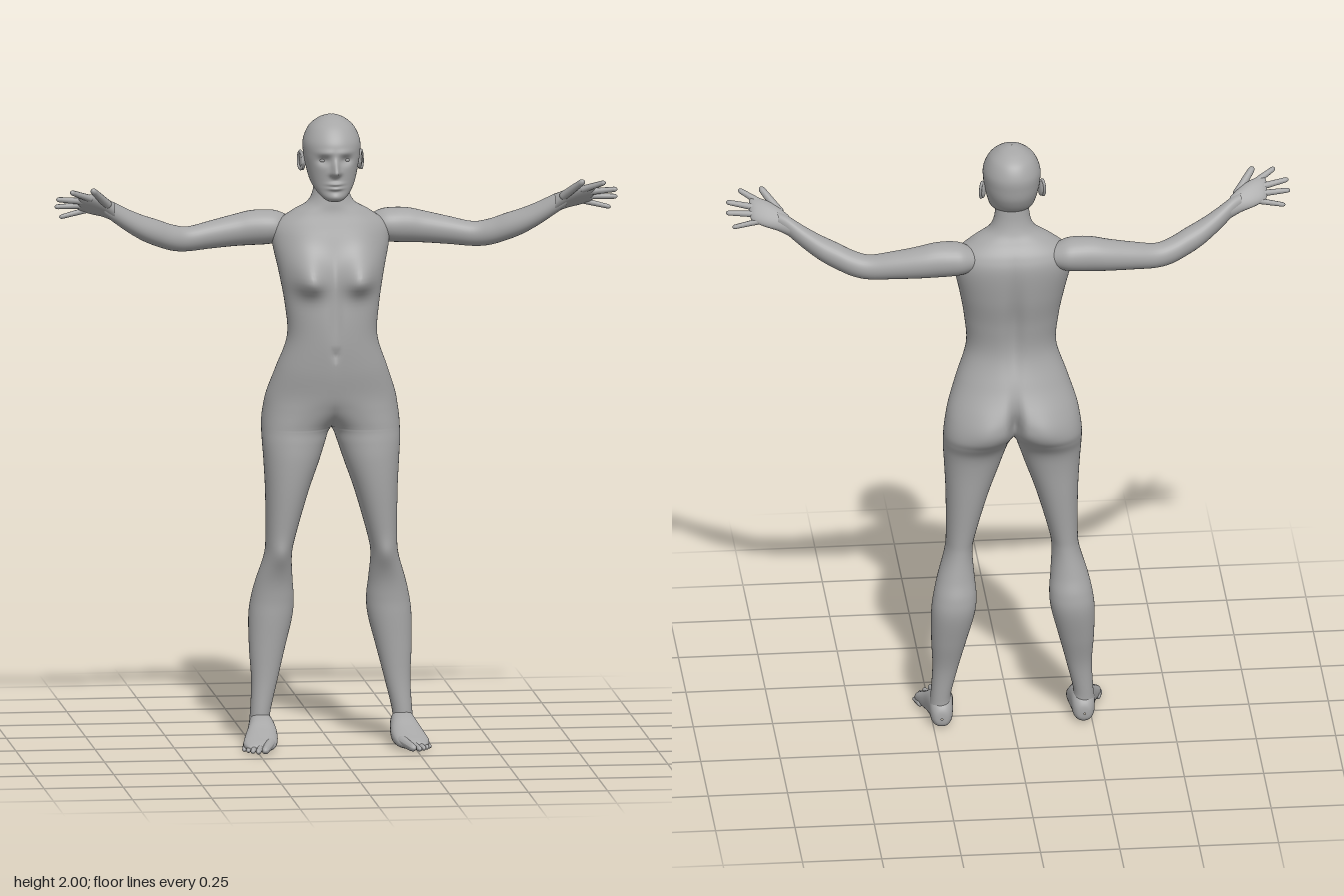
import * as THREE from 'three';

const skin = new THREE.MeshStandardMaterial({ color: 0xa6a6a6 });
skin.name = 'plain grey';

const bell = (v, centre, width) => Math.exp(-(((v - centre) / width) ** 2));
const sup = (v, e) => Math.sign(v) * Math.abs(v) ** (2 / e);

// Smoothly subdivide a list of cross-section rows (Catmull-Rom on each number)
function smooth(rows, k) {
  const out = [], last = rows.length - 1;
  for (let i = 0; i < last; i++) {
    const [a, b, c, d] = [rows[Math.max(i - 1, 0)], rows[i], rows[i + 1], rows[Math.min(i + 2, last)]];
    for (let j = 0; j < k; j++) {
      const t = j / k;
      out.push(b.map((_, m) => b[m] + 0.5 * t * (c[m] - a[m]
        + t * (2 * a[m] - 5 * b[m] + 4 * c[m] - d[m] + t * (3 * (b[m] - c[m]) + d[m] - a[m])))));
    }
  }
  out.push(rows[last]);
  return out;
}

// A ring of n points; fn receives the two rounded-oval coordinates
function oval(n, e, fn) {
  return Array.from({ length: n }, (_, i) => {
    const t = (i / n) * Math.PI * 2;
    return fn(sup(Math.cos(t), e), sup(Math.sin(t), e));
  });
}

// Skin a stack of rings, with faces turned outward
function loft(rings, closed = true) {
  const n = rings[0].length, pts = rings.flat(), index = [];
  for (let r = 0; r < rings.length - 1; r++) {
    for (let i = 0; i < (closed ? n : n - 1); i++) {
      const a = r * n + i, b = r * n + (i + 1) % n;
      index.push(a, b, a + n, b, b + n, a + n);
    }
  }
  let volume = 0;
  const v = [0, 1, 2].map(() => new THREE.Vector3());
  for (let i = 0; i < index.length; i += 3) {
    v.forEach((p, m) => p.fromArray(pts[index[i + m]]));
    volume += v[0].dot(v[1].cross(v[2]));
  }
  if (volume < 0) index.reverse();
  const g = new THREE.BufferGeometry();
  g.setAttribute('position', new THREE.Float32BufferAttribute(pts.flat(), 3));
  g.setIndex(index);
  g.computeVertexNormals();
  return g;
}

// One half of the body, from ankle to neck: [y, inner x, outer x, front z, back z]
function halfBody() {
  const n = 64, e = 2.15;
  const rows = smooth([
    [0.06, 0.19, 0.26, 0, -0.075], [0.1, 0.193, 0.256, 0, -0.076], [0.2, 0.17, 0.251, -0.005, -0.087],
    [0.3, 0.145, 0.256, -0.005, -0.115], [0.4, 0.12, 0.257, -0.003, -0.139], [0.46, 0.115, 0.25, -0.002, -0.137],
    [0.52, 0.12, 0.236, 0.006, -0.121], [0.6, 0.125, 0.212, 0.03, -0.106], [0.66, 0.115, 0.207, 0.04, -0.106],
    [0.8, 0.075, 0.208, 0.055, -0.12], [0.9, 0.04, 0.213, 0.06, -0.13], [0.96, 0.02, 0.217, 0.058, -0.142],
    [1.0, 0.004, 0.218, 0.055, -0.165], [1.03, -0.03, 0.217, 0.058, -0.182], [1.07, -0.1, 0.212, 0.065, -0.188],
    [1.12, -0.195, 0.202, 0.077, -0.182], [1.2, -0.175, 0.175, 0.09, -0.148], [1.3, -0.142, 0.142, 0.097, -0.117],
    [1.4, -0.148, 0.148, 0.093, -0.125], [1.5, -0.165, 0.165, 0.075, -0.146], [1.6, -0.185, 0.185, 0.045, -0.157],
    [1.65, -0.175, 0.175, 0.028, -0.146], [1.69, -0.125, 0.125, 0.015, -0.122], [1.72, -0.075, 0.075, 0.01, -0.106],
    [1.76, -0.056, 0.056, 0.004, -0.095], [1.82, -0.052, 0.052, 0, -0.09],
  ], 7);
  const rings = rows.map(([y, xi, xo, zf, zb]) => {
    const cx = (xi + xo) / 2, hw = (xo - xi) / 2, cz = (zf + zb) / 2, d = (zf - zb) / 2;
    // the arc stops at the middle plane where both halves meet
    const reach = cx >= hw ? Math.PI : Math.acos(-((Math.max(cx, 0) / hw) ** (e / 2)));
    return Array.from({ length: n }, (_, i) => {
      const t = reach * (2 * i / (n - 1) - 1), s = Math.sin(t);
      const x = Math.max(0, cx + hw * sup(Math.cos(t), e));
      let z = cz + d * sup(s, e);
      const front = Math.max(0, s), back = Math.max(0, -s);
      z += front * 0.066 * bell(x, 0.085, 0.052) * bell(y, 1.485, y > 1.485 ? 0.07 : 0.042); // chest
      z -= front * 0.014 * bell(x, 0, 0.009) * bell(y, 1.25, 0.011); // navel
      z -= front * 0.008 * bell(x, 0, 0.02) * bell(y, 1.37, 0.1); // midline
      z += back * 0.016 * bell(x, 0, 0.028) * bell(y, 1.4, 0.16); // spine
      z -= back * 0.012 * bell(x, 0.09, 0.06) * bell(y, 1.06, 0.06); // seat
      z += back * 0.05 * bell(x, 0, 0.018) * bell(y, 1.07, 0.07);
      z += front * 0.008 * bell(x, 0.165, 0.03) * bell(y, 0.61, 0.04); // knee
      return [x, y, z];
    });
  });
  const g = loft(rings, false), N = g.attributes.normal, P = g.attributes.position;
  // keep shading continuous along the middle plane and the inner leg
  for (let a = 0; a < P.count; a += n) {
    const b = a + n - 1, na = new THREE.Vector3().fromBufferAttribute(N, a), nb = new THREE.Vector3().fromBufferAttribute(N, b);
    if (P.getX(a) < 0.0015) { na.x = 0; nb.x = 0; } else { na.add(nb); nb.copy(na); }
    na.normalize(); nb.normalize();
    N.setXYZ(a, na.x, na.y, na.z);
    N.setXYZ(b, nb.x, nb.y, nb.z);
  }
  return g;
}

// Head rows: [y, half width, front z, back z]; the face is pushed in and out of the oval
function head() {
  const rows = smooth([
    [1.735, 0.001, 0.056, 0.054], [1.738, 0.022, 0.077, 0.03], [1.752, 0.042, 0.085, -0.005], [1.775, 0.06, 0.084, -0.055],
    [1.8, 0.072, 0.084, -0.1], [1.84, 0.082, 0.085, -0.128], [1.88, 0.089, 0.084, -0.138], [1.92, 0.089, 0.079, -0.14],
    [1.96, 0.072, 0.052, -0.122], [1.985, 0.045, 0.018, -0.088], [1.997, 0.019, -0.014, -0.052], [2, 0.001, -0.032, -0.034],
  ], 10);
  return loft(rows.map(([y, hw, zf, zb]) => oval(96, 2.1, (c, s) => {
    const x = hw * c, ax = Math.abs(x), f = Math.max(0, s);
    let z = (zf + zb) / 2 + s * (zf - zb) / 2;
    z += f * 0.04 * bell(x, 0, 0.009 + 0.005 * bell(y, 1.825, 0.015)) * bell(y, 1.832, y > 1.832 ? 0.03 : 0.013); // nose
    z -= f * 0.015 * bell(ax, 0.036, 0.02) * bell(y, 1.867, 0.014); // eye sockets
    z += f * 0.005 * bell(ax, 0.03, 0.03) * bell(y, 1.892, 0.01); // brow
    z += f * 0.011 * bell(x, 0, 0.022) * (bell(y, 1.794, 0.006) + bell(y, 1.78, 0.006)); // lips
    z += f * 0.006 * bell(x, 0, 0.022) * bell(y, 1.752, 0.012); // chin
    return [x, y, z];
  })));
}

// Arm rows: [x, bottom y, top y, back z, front z]
function arm() {
  const rows = smooth([
    [0.11, 1.605, 1.66, -0.12, -0.06], [0.16, 1.588, 1.685, -0.143, -0.032], [0.2, 1.582, 1.691, -0.145, -0.026],
    [0.25, 1.58, 1.689, -0.142, -0.03], [0.3, 1.578, 1.678, -0.136, -0.034], [0.38, 1.573, 1.66, -0.118, -0.03],
    [0.45, 1.568, 1.646, -0.1, -0.02], [0.5, 1.573, 1.655, -0.088, 0], [0.55, 1.59, 1.675, -0.07, 0.022],
    [0.6, 1.613, 1.694, -0.048, 0.041], [0.65, 1.645, 1.718, -0.018, 0.056], [0.7, 1.683, 1.746, 0.015, 0.07],
    [0.73, 1.707, 1.755, 0.034, 0.082],
  ], 5);
  return loft(rows.map(([x, yb, yt, zb, zf]) => oval(32, 2, (c, s) =>
    [x, (yb + yt) / 2 + c * (yt - yb) / 2, (zb + zf) / 2 + s * (zf - zb) / 2])));
}

// Palm rows: [x, y, z, half breadth, half thickness], tilted forward
function palm() {
  const rows = smooth([
    [0.695, 1.713, 0.042, 0.033, 0.026], [0.73, 1.731, 0.06, 0.04, 0.02], [0.77, 1.744, 0.076, 0.045, 0.016],
    [0.8, 1.75, 0.086, 0.04, 0.012], [0.813, 1.753, 0.09, 0.03, 0.006], [0.816, 1.754, 0.091, 0, 0],
  ], 4);
  return loft(rows.map(([x, y, z, u, v]) => oval(28, 2.3, (c, s) =>
    [x, y + 0.71 * (c * u - s * v), z + 0.71 * (c * u + s * v)])));
}

// Foot rows: [z, inner x, outer x, bottom y, top y]
function foot() {
  const rows = smooth([
    [-0.087, 0.222, 0.228, 0.03, 0.035], [-0.083, 0.203, 0.245, 0.01, 0.06], [-0.065, 0.19, 0.257, 0, 0.085],
    [-0.03, 0.185, 0.262, 0, 0.105], [0.02, 0.18, 0.271, 0, 0.092], [0.06, 0.18, 0.284, 0, 0.067],
    [0.1, 0.188, 0.293, 0, 0.046], [0.125, 0.198, 0.288, 0.003, 0.034], [0.14, 0.21, 0.275, 0.01, 0.024], [0.142, 0.24, 0.24, 0.016, 0.016],
  ], 5);
  return loft(rows.map(([z, xi, xo, yb, yt]) => oval(36, 2.4, (c, s) =>
    [(xi + xo) / 2 + c * (xo - xi) / 2, Math.max(0, (yb + yt) / 2 + s * (yt - yb) / 2), z])));
}

// Tapered finger or toe from a to b
function digit(a, b, r) {
  const A = new THREE.Vector3(...a), B = new THREE.Vector3(...b), len = A.distanceTo(B);
  const g = new THREE.CapsuleGeometry(r, len - r, 6, 14, 4), p = g.attributes.position;
  for (let i = 0; i < p.count; i++) {
    const k = 1 - 0.3 * (p.getY(i) / len + 0.5);
    p.setXYZ(i, p.getX(i) * k, p.getY(i), p.getZ(i) * k);
  }
  g.computeVertexNormals();
  const dir = B.clone().sub(A).normalize();
  g.applyQuaternion(new THREE.Quaternion().setFromUnitVectors(new THREE.Vector3(0, 1, 0), dir));
  const mid = A.add(B).multiplyScalar(0.5).addScaledVector(dir, -r / 2);
  return g.translate(mid.x, mid.y, mid.z);
}

function mirrored(g) {
  const m = g.clone().scale(-1, 1, 1);
  m.setIndex(Array.from(g.index.array).reverse());
  return m;
}

export function createModel() {
  const model = new THREE.Group();
  model.name = 'standingFigure';
  const add = (name, g) => {
    const mesh = new THREE.Mesh(g, skin);
    mesh.name = name;
    model.add(mesh);
  };
  const pair = (name, g) => {
    add('left' + name, g);
    add('right' + name, mirrored(g));
  };

  add('head', head());
  pair('BodyAndLeg', halfBody());
  pair('Arm', arm());
  pair('Palm', palm());
  pair('Foot', foot());

  // eyes and ears
  pair('Eye', new THREE.SphereGeometry(0.014, 20, 14).scale(1.1, 0.65, 1).translate(0.036, 1.867, 0.051));
  pair('Ear', new THREE.SphereGeometry(1, 20, 14).scale(0.008, 0.03, 0.018).rotateX(-0.2).rotateY(-0.3).translate(0.091, 1.852, -0.042));
  pair('EarRim', new THREE.TorusGeometry(0.019, 0.0045, 8, 28).scale(0.85, 1.4, 1).rotateY(Math.PI / 2 - 0.35)
    .rotateX(-0.2).translate(0.096, 1.853, -0.045));

  // thumb, then index to little finger
  [
    ['Thumb', [0.722, 1.745, 0.08], [0.777, 1.801, 0.147], 0.0145],
    ['IndexFinger', [0.78, 1.768, 0.104], [0.845, 1.795, 0.147], 0.0115],
    ['MiddleFinger', [0.79, 1.756, 0.091], [0.886, 1.768, 0.117], 0.0115],
    ['RingFinger', [0.79, 1.741, 0.076], [0.889, 1.741, 0.094], 0.011],
    ['LittleFinger', [0.78, 1.725, 0.06], [0.871, 1.703, 0.066], 0.01],
  ].forEach(([name, a, b, r]) => pair(name, digit(a, b, r)));

  // toes, from the big one outward
  [
    [0.209, 0.105, 0.237, 0.193, 0.017], [0.237, 0.11, 0.257, 0.184, 0.0115], [0.255, 0.1, 0.272, 0.167, 0.011],
    [0.269, 0.085, 0.284, 0.147, 0.0105], [0.28, 0.065, 0.294, 0.125, 0.01],
  ].forEach(([xa, za, xb, zb, r], i) => pair('Toe' + (i + 1), digit([xa, r + 0.008, za], [xb, r * 0.8, zb], r)));

  return model;
}
